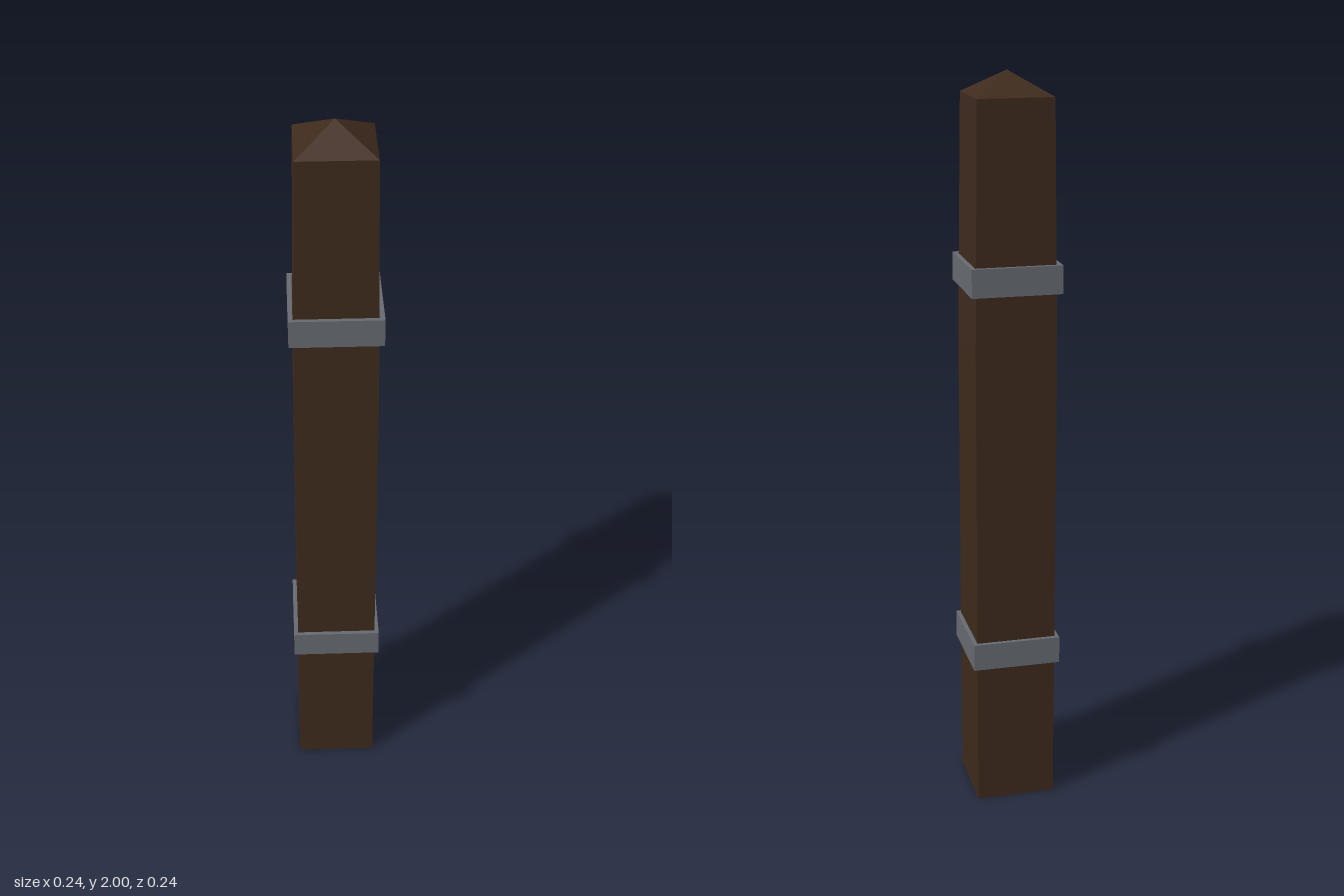
import * as THREE from 'three';

const wood = new THREE.MeshStandardMaterial({ color: 0x3f2b1d, flatShading: true });
const iron = new THREE.MeshStandardMaterial({ color: 0x686c72, flatShading: true });

// Square prism between two heights; a top half-width of 0 makes a point.
function squareSection(bottomHalf, topHalf, y0, y1, open) {
  const r = Math.SQRT2;
  const geo = new THREE.CylinderGeometry(topHalf * r, bottomHalf * r, y1 - y0, 4, 1, open);
  geo.rotateY(Math.PI / 4);
  geo.translate(0, (y0 + y1) / 2, 0);
  return geo;
}

function squarePath(path, h) {
  path.moveTo(-h, -h);
  path.lineTo(h, -h);
  path.lineTo(h, h);
  path.lineTo(-h, h);
  path.closePath();
  return path;
}

// Square hollow collar lying flat, with its base at y = 0
function collarGeometry(outer, inner, height) {
  const shape = squarePath(new THREE.Shape(), outer);
  shape.holes.push(squarePath(new THREE.Path(), inner));
  const geo = new THREE.ExtrudeGeometry(shape, { depth: height, bevelEnabled: false });
  geo.rotateX(-Math.PI / 2);
  return geo;
}

export function createModel() {
  const group = new THREE.Group();
  group.name = 'woodenPost';

  const add = (name, geo, material, y = 0) => {
    const mesh = new THREE.Mesh(geo, material);
    mesh.name = name;
    mesh.position.y = y;
    group.add(mesh);
  };

  const half = 0.1085, topHalf = 0.1, kinkY = 1.29, capY = 1.94;

  // Post: straight shaft, slightly tapered upper part, pyramid tip
  add('shaft', squareSection(half, half, 0, kinkY, true), wood);
  add('taperedTop', squareSection(half, topHalf, kinkY, capY, true), wood);
  add('pyramidTip', squareSection(topHalf, 0, capY, 2, true), wood);

  // Underside of the shaft
  const base = new THREE.PlaneGeometry(half * 2, half * 2);
  base.rotateX(Math.PI / 2);
  add('base', base, wood);

  // Iron bands
  const band = collarGeometry(0.12, half, 0.075);
  add('lowerBand', band, iron, 0.405);
  add('upperBand', band, iron, 1.445);

  return group;
}
